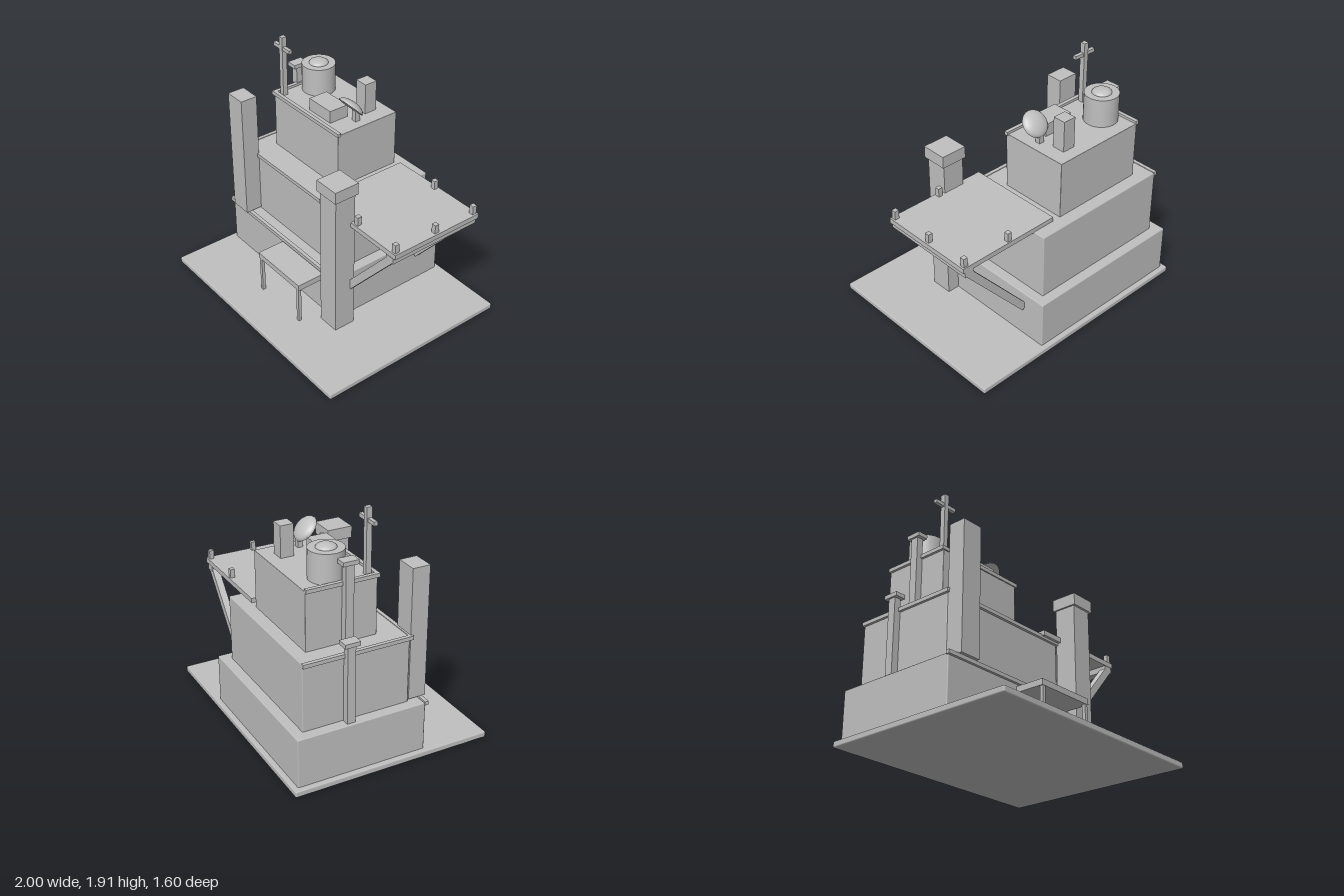
import * as THREE from 'three';
import { RoundedBoxGeometry } from 'three/addons/geometries/RoundedBoxGeometry.js';

export function createModel() {
  const model = new THREE.Group();
  model.name = 'rooftopHouse';
  const plaster = new THREE.MeshStandardMaterial({ color: 0xc0c0c0 });
  plaster.name = 'plasterGrey';

  const add = (name, geometry, x = 0, y = 0, z = 0) => {
    const mesh = new THREE.Mesh(geometry, plaster);
    mesh.name = name;
    mesh.position.set(x, y, z);
    model.add(mesh);
    return mesh;
  };
  // Box given by its limits; bevel rounds the edges slightly
  const box = (name, [x0, x1], [y0, y1], [z0, z1], bevel = 0) => {
    const size = [x1 - x0, y1 - y0, z1 - z0];
    const geometry = bevel
      ? new RoundedBoxGeometry(...size, 1, bevel)
      : new THREE.BoxGeometry(...size);
    return add(name, geometry, (x0 + x1) / 2, (y0 + y1) / 2, (z0 + z1) / 2);
  };

  // Ground slab and the three stepped storeys
  box('groundSlab', [-1, 1], [0, 0.05], [-0.8, 0.8], 0.012);
  box('lowerStorey', [-0.96, 0.39], [0.04, 0.435], [-0.76, 0.27], 0.008);
  box('middleStorey', [-0.88, 0.31], [0.425, 0.965], [-0.68, 0.17], 0.008);
  box('upperStorey', [-0.74, 0.05], [0.955, 1.42], [-0.58, -0.02], 0.004);

  // Ledges along the roof edges
  box('lowerFrontLedge', [-0.97, 0.4], [0.42, 0.45], [0.26, 0.29]);
  box('middleFrontLedge', [-0.9, 0.32], [0.94, 0.97], [0.16, 0.19]);
  box('middleLeftLedge', [-0.9, -0.87], [0.94, 0.97], [-0.68, 0.17]);
  box('upperFrontLedge', [-0.75, 0.06], [1.41, 1.44], [-0.04, -0.01]);
  box('upperLeftLedge', [-0.76, -0.73], [1.41, 1.44], [-0.58, -0.01]);

  // Front columns
  box('shortColumn', [-0.88, -0.705], [0.45, 1.48], [0.175, 0.315]);
  box('tallColumn', [0.31, 0.49], [0.04, 1.24], [0.175, 0.35]);
  box('tallColumnCap', [0.295, 0.508], [1.235, 1.33], [0.16, 0.368]);

  // Cantilevered deck, its edge beam, posts and slanted braces
  box('deck', [0.12, 0.975], [0.96, 1], [-0.58, 0.213]);
  box('deckBeam', [0.88, 0.955], [0.91, 0.957], [-0.575, 0.213]);
  for (const [x, z] of [[0.537, -0.552], [0.943, -0.552], [0.943, -0.185], [0.943, 0.184], [0.537, 0.184]])
    box('deckPost', [x - 0.018, x + 0.018], [0.99, 1.07], [z - 0.018, z + 0.018]);
  const top = new THREE.Vector2(0.915, 0.925);
  const foot = new THREE.Vector2(0.385, 0.305);
  const run = top.clone().sub(foot);
  for (const z of [-0.543, 0.185]) {
    const brace = add('deckBrace', new THREE.BoxGeometry(run.length(), 0.06, 0.056),
      (top.x + foot.x) / 2, (top.y + foot.y) / 2, z);
    brace.rotation.z = run.angle();
  }

  // Wall counter on two legs
  box('counterTop', [-0.272, 0.245], [0.355, 0.402], [0.265, 0.507]);
  for (const x of [-0.25, 0.223])
    box('counterLeg', [x - 0.013, x + 0.013], [0.045, 0.36], [0.478, 0.504]);

  // Capped flues on the left side
  for (const [x, z, y0, y1] of [[-0.911, -0.33, 0.43, 1.04], [-0.772, -0.27, 0.96, 1.573]]) {
    box('flue', [x - 0.028, x + 0.028], [y0, y1], [z - 0.032, z + 0.032]);
    box('flueCap', [x - 0.043, x + 0.043], [y1, y1 + 0.032], [z - 0.061, z + 0.061]);
  }

  // Water tank with a shallow lid
  add('waterTank', new THREE.CylinderGeometry(0.132, 0.132, 0.23, 32), -0.602, 1.53, -0.345);
  const lid = add('tankLid', new THREE.SphereGeometry(0.076, 24, 8, 0, Math.PI * 2, 0, Math.PI / 2),
    -0.602, 1.643, -0.345);
  lid.scale.y = 0.43;

  // Antenna, equipment box and chimney
  box('antennaMast', [-0.71, -0.67], [1.41, 1.915], [-0.095, -0.053]);
  box('antennaBar', [-0.79, -0.59], [1.808, 1.837], [-0.087, -0.058]);
  box('equipmentBox', [-0.38, -0.127], [1.41, 1.52], [-0.248, -0.085]);
  box('chimney', [-0.18, -0.072], [1.41, 1.667], [-0.48, -0.375]);

  // Tilted dish: domed back and flat face
  box('dishStand', [-0.068, -0.025], [1.41, 1.507], [-0.287, -0.245]);
  const profile = [new THREE.Vector2(0, 0), new THREE.Vector2(0.106, 0)];
  const dishFace = add('dishFace', new THREE.CircleGeometry(0.106, 32).rotateX(Math.PI / 2), -0.047, 1.547, -0.213);
  const dome = [];
  for (let i = 0; i <= 8; i++) {
    const a = (i / 8) * Math.PI / 2;
    dome.push(new THREE.Vector2(profile[1].x * Math.cos(a), 0.05 * Math.sin(a)));
  }
  const dishBack = add('dishBack', new THREE.LatheGeometry(dome, 32), -0.047, 1.547, -0.213);
  dishFace.rotation.x = dishBack.rotation.x = -0.82;

  return model;
}
